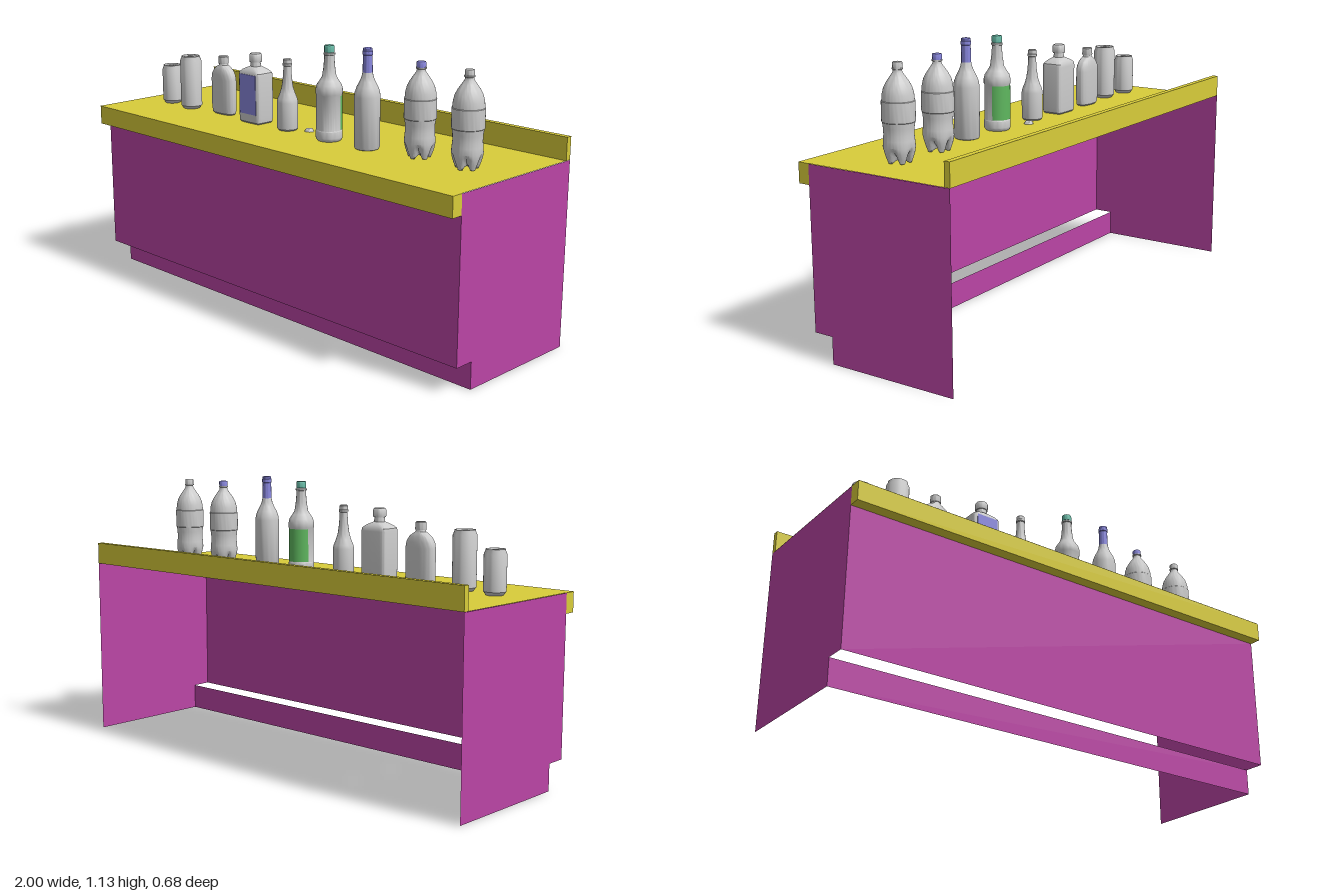
import * as THREE from 'three';
import { toCreasedNormals } from 'three/addons/utils/BufferGeometryUtils.js';

const mat = (color, side = THREE.FrontSide) => new THREE.MeshStandardMaterial({ color, side });
const GREY = mat(0xcccccc);
const YELLOW = mat(0xd8cc3a, THREE.DoubleSide);
const MAGENTA = mat(0xbb45a5, THREE.DoubleSide);
const BLUE = mat(0x8886dd, THREE.DoubleSide);
const TEAL = mat(0x66b8a4);
const GREEN = mat(0x5fb85f, THREE.DoubleSide);
const TOP = 0.745;

function add(parent, name, geometry, material, x = 0, y = 0, z = 0) {
  const mesh = new THREE.Mesh(geometry, material);
  mesh.name = name;
  mesh.position.set(x, y, z);
  parent.add(mesh);
  return mesh;
}

// Turned body from [radius, height] pairs, bottom to top
function turned(profile, segments = 32) {
  const points = profile.map(([r, y]) => new THREE.Vector2(r, y));
  return toCreasedNormals(new THREE.LatheGeometry(points, segments), 0.6);
}

// Body with superellipse cross-sections: [halfWidth, height, halfDepth, exponent]
function lofted(sections, segments = 48) {
  const g = new THREE.LatheGeometry(sections.map(([a, y]) => new THREE.Vector2(a, y)), segments);
  const p = g.attributes.position;
  const bend = (v, n) => Math.sign(v) * Math.abs(v) ** (2 / n);
  for (let i = 0; i < p.count; i++) {
    const [a, y, b, n] = sections[i % sections.length];
    const t = (Math.floor(i / sections.length) / segments) * Math.PI * 2;
    p.setXYZ(i, a * bend(Math.sin(t), n), y, b * bend(Math.cos(t), n));
  }
  return toCreasedNormals(g, 0.6);
}

// Fizzy drink bottle whose base is divided into five feet
function footedGeometry() {
  const profile = [[0, 0.012], [0.02, 0.008], [0.036, 0], [0.043, 0.002], [0.05, 0.02], [0.056, 0.04],
    [0.059, 0.06], [0.057, 0.085], [0.055, 0.105], [0.056, 0.13], [0.059, 0.15], [0.061, 0.152], [0.061, 0.225],
    [0.059, 0.227], [0.057, 0.25], [0.051, 0.273], [0.041, 0.292], [0.028, 0.311], [0.018, 0.325],
    [0.016, 0.335], [0.02, 0.337], [0.02, 0.341], [0.016, 0.342]];
  const g = new THREE.LatheGeometry(profile.map(([r, y]) => new THREE.Vector2(r, y)), 60);
  const p = g.attributes.position;
  for (let i = 0; i < p.count; i++) {
    const x = p.getX(i), y = p.getY(i), z = p.getZ(i);
    const fade = Math.max(0, 1 - y / 0.065);
    const r = Math.hypot(x, z);
    const valley = (0.5 - 0.5 * Math.cos(5 * Math.atan2(x, z))) ** 2 * fade;
    const pull = 1 - 0.16 * valley;
    p.setXYZ(i, x * pull, y + 0.034 * valley * Math.min(1, r / 0.04), z * pull);
  }
  return toCreasedNormals(g, 0.6);
}

function place(parent, name, x, z) {
  const g = new THREE.Group();
  g.name = name;
  g.position.set(x, TOP, z);
  parent.add(g);
  return g;
}

// Drinks can with recessed lid and pull tab
function can(parent, name, x, z, r, h, turn) {
  const g = place(parent, name, x, z);
  add(g, 'canBody', turned([[0, 0.008], [r * 0.68, 0.006], [r * 0.74, 0], [r * 0.8, 0.002], [r, 0.014],
    [r, h - 0.02], [r * 0.86, h - 0.005], [r * 0.86, h], [r * 0.8, h], [r * 0.76, h - 0.007], [0, h - 0.007]]), GREY);
  const tab = add(g, 'pullTab', new THREE.TorusGeometry(r * 0.2, 0.0025, 6, 16), GREY, 0, h - 0.004, 0);
  tab.rotation.set(Math.PI / 2, 0, turn);
  tab.scale.y = 1.4;
  const mouth = add(g, 'canOpening', new THREE.TorusGeometry(r * 0.3, 0.0015, 6, 20), GREY,
    Math.sin(turn) * -r * 0.4, h - 0.007, Math.cos(turn) * r * 0.4);
  mouth.rotation.x = Math.PI / 2;
}

function buildCounter(parent) {
  const g = new THREE.Group();
  g.name = 'counter';
  parent.add(g);
  // Worktop sheet, front edge and rear upstand
  add(g, 'worktop', new THREE.PlaneGeometry(2, 0.68).rotateX(-Math.PI / 2), YELLOW, 0, TOP, 0);
  add(g, 'frontEdge', new THREE.BoxGeometry(2, 0.079, 0.048), YELLOW, 0, 0.705, 0.316);
  add(g, 'rearUpstand', new THREE.BoxGeometry(2, 0.09, 0.024), YELLOW, 0, 0.79, -0.328);
  // Thin cabinet panels, open at the back and underneath
  add(g, 'frontPanel', new THREE.PlaneGeometry(2, 0.56), MAGENTA, 0, 0.387, 0.292);
  add(g, 'toeKick', new THREE.PlaneGeometry(2, 0.107), MAGENTA, 0, 0.0535, 0.21);
  const side = new THREE.Shape([[0.34, 0], [-0.21, 0], [-0.21, 0.107], [-0.292, 0.107], [-0.292, 0.744],
    [0.34, 0.744]].map(([a, b]) => new THREE.Vector2(a, b)));
  for (const s of [1, -1]) {
    add(g, s > 0 ? 'leftSidePanel' : 'rightSidePanel',
      new THREE.ShapeGeometry(side).rotateY(Math.PI / 2), MAGENTA, s, 0, 0);
  }
}

export function createModel() {
  const model = new THREE.Group();
  model.name = 'barCounter';
  buildCounter(model);

  can(model, 'smallCan', -0.84, 0.06, 0.043, 0.17, 0.2);
  can(model, 'largeCan', -0.69, 0.075, 0.046, 0.23, 1.5);

  // Flat flask
  const flask = place(model, 'flask', -0.5, 0.05);
  add(flask, 'flaskBody', lofted([[0, 0, 0, 2.6], [0.055, 0, 0.024, 2.6], [0.062, 0.006, 0.029, 2.6],
    [0.066, 0.03, 0.031, 2.6], [0.066, 0.15, 0.031, 2.6], [0.062, 0.172, 0.03, 2.6], [0.05, 0.192, 0.027, 2.4],
    [0.034, 0.204, 0.023, 2.2], [0.021, 0.211, 0.019, 2], [0.018, 0.222, 0.018, 2]]), GREY);
  add(flask, 'flaskCap', turned([[0, 0.218], [0.021, 0.218], [0.022, 0.222], [0.021, 0.247], [0.018, 0.25], [0, 0.25]]), GREY);

  // Square bottle with front label
  const square = place(model, 'squareBottle', -0.285, 0.06);
  add(square, 'squareBody', lofted([[0, 0, 0, 8], [0.054, 0, 0.04, 8], [0.06, 0.006, 0.045, 8],
    [0.062, 0.03, 0.046, 8], [0.062, 0.2, 0.046, 8], [0.06, 0.212, 0.044, 8], [0.05, 0.222, 0.038, 5],
    [0.035, 0.23, 0.03, 3], [0.022, 0.236, 0.022, 2], [0.02, 0.258, 0.02, 2]]), GREY);
  add(square, 'squareCap', turned([[0, 0.254], [0.025, 0.254], [0.026, 0.258], [0.026, 0.282], [0.022, 0.289], [0, 0.289]]), GREY);
  add(square, 'squareLabel', new THREE.BoxGeometry(0.096, 0.165, 0.002), BLUE, 0, 0.122, 0.0465);

  // Small long-necked bottle
  const small = place(model, 'smallBottle', -0.09, 0.065);
  add(small, 'smallBottleBody', turned([[0, 0.004], [0.036, 0], [0.042, 0.006], [0.043, 0.012], [0.043, 0.115],
    [0.04, 0.13], [0.031, 0.152], [0.024, 0.175], [0.019, 0.21], [0.016, 0.25], [0.016, 0.262], [0.019, 0.264],
    [0.019, 0.272], [0.017, 0.274], [0.017, 0.288], [0.014, 0.291], [0, 0.291]]), GREY);

  // Loose crown cap
  const crown = place(model, 'crownCap', -0.005, 0.025);
  const fluted = [[0.019, 0], [0.018, 0.003], [0.015, 0.009], [0.012, 0.011], [0, 0.011]];
  add(crown, 'crownCapShell', turned(fluted, 21), mat(0xcccccc, THREE.DoubleSide));

  // Tall bottle with screw cap and rear label
  const tall = place(model, 'tallBottle', 0.152, 0.07);
  add(tall, 'tallBottleBody', turned([[0, 0.004], [0.046, 0], [0.052, 0.007], [0.053, 0.014], [0.053, 0.04],
    [0.051, 0.043], [0.051, 0.182], [0.053, 0.186], [0.053, 0.205], [0.049, 0.222], [0.037, 0.24], [0.028, 0.255],
    [0.023, 0.29], [0.02, 0.325], [0.02, 0.338], [0.023, 0.34], [0.023, 0.346], [0.018, 0.348], [0, 0.348]]), GREY);
  add(tall, 'tallBottleCap', turned([[0, 0.349], [0.02, 0.349], [0.02, 0.373], [0.018, 0.376], [0, 0.376]]), TEAL);
  add(tall, 'rearLabel', new THREE.CylinderGeometry(0.052, 0.052, 0.136, 24, 1, true, Math.PI * 0.57, Math.PI * 0.86),
    GREEN, 0, 0.113, 0);

  // Wine bottle with foil neck
  const wine = place(model, 'wineBottle', 0.355, 0.07);
  add(wine, 'wineBottleBody', turned([[0, 0.015], [0.03, 0.008], [0.04, 0], [0.047, 0.003], [0.05, 0.01],
    [0.05, 0.205], [0.048, 0.222], [0.041, 0.242], [0.03, 0.263], [0.023, 0.28], [0.019, 0.3]]), GREY);
  add(wine, 'neckFoil', turned([[0.0195, 0.297], [0.018, 0.363], [0.02, 0.365], [0.02, 0.378], [0.018, 0.38],
    [0.018, 0.388], [0.015, 0.39], [0, 0.39]]), BLUE);

  // Pair of footed drink bottles
  const footed = footedGeometry();
  const screwCap = turned([[0, 0.341], [0.018, 0.341], [0.018, 0.36], [0.016, 0.363], [0, 0.363]]);
  for (const [x, name, capMaterial] of [[0.585, 'innerDrinkBottle', BLUE], [0.81, 'outerDrinkBottle', GREY]]) {
    const g = place(model, name, x, 0.03);
    add(g, 'drinkBottleBody', footed, GREY);
    add(g, 'drinkBottleCap', screwCap, capMaterial);
  }
  return model;
}
